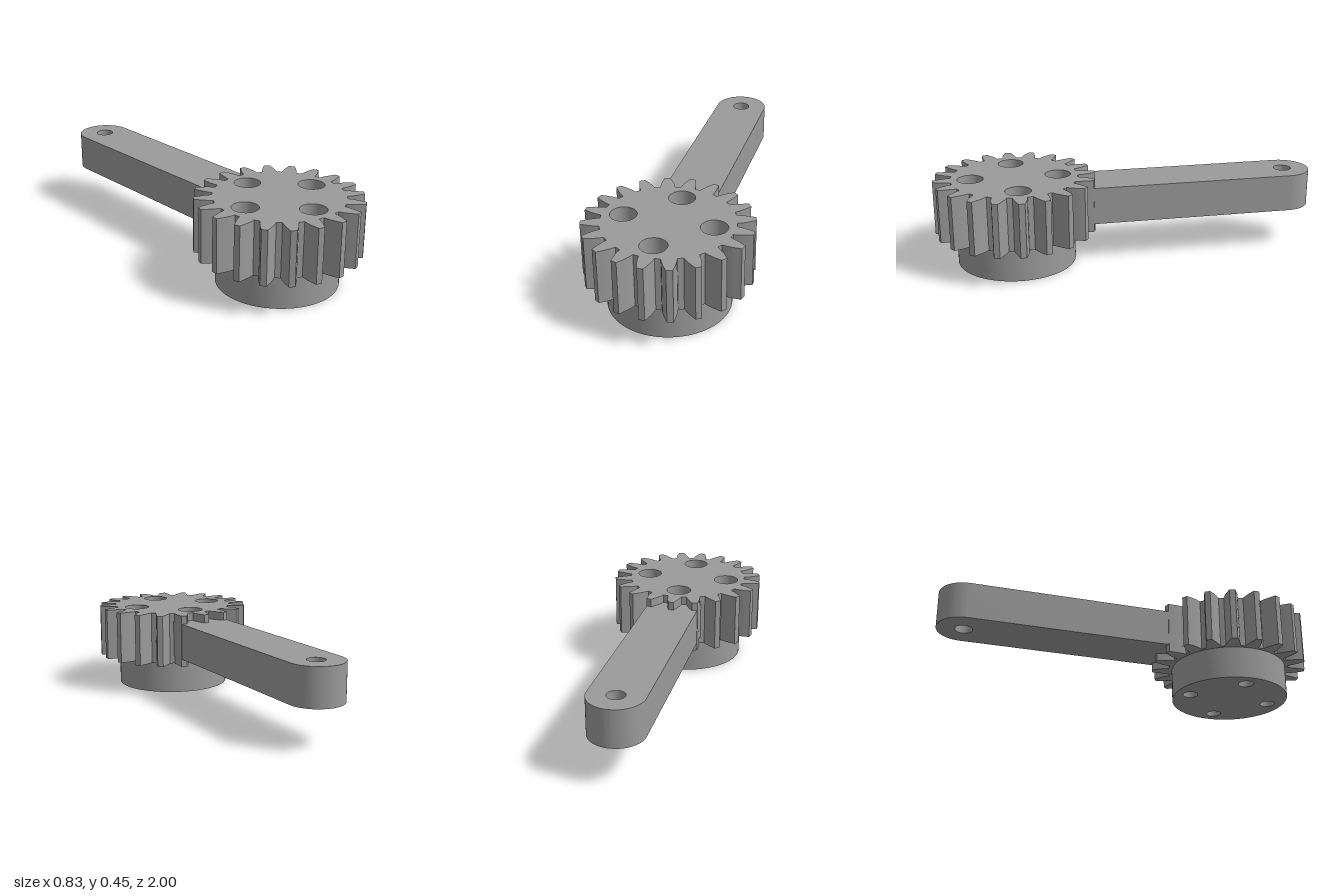
import * as THREE from 'three';
import { toCreasedNormals } from 'three/addons/utils/BufferGeometryUtils.js';

const GEAR_Z = 0.585;
const TEETH = 20;
const BOLT_CIRCLE = 0.224;
const material = new THREE.MeshStandardMaterial({ color: 0x9a9a9a });

function addHole(shape, x, y, r) {
  const hole = new THREE.Path();
  hole.absarc(x, y, r, 0, Math.PI * 2, true);
  shape.holes.push(hole);
}

function addBoltHoles(shape, r) {
  for (let i = 0; i < 4; i++) {
    const a = (i * Math.PI) / 2;
    addHole(shape, BOLT_CIRCLE * Math.cos(a), BOLT_CIRCLE * Math.sin(a), r);
  }
}

// Extrudes a plan outline upwards from y0 to y1 (outline y points to -z).
function plate(name, shape, y0, y1, z) {
  const geometry = new THREE.ExtrudeGeometry(shape, {
    depth: y1 - y0, bevelEnabled: false, curveSegments: 32,
  });
  geometry.rotateX(-Math.PI / 2);
  const mesh = new THREE.Mesh(toCreasedNormals(geometry, 0.12), material);
  mesh.name = name;
  mesh.position.set(0, y0, z);
  return mesh;
}

// Gear outline: each tooth is a mirrored flank of [radius, half width] points.
function gearShape() {
  const flank = [[0.325, 0.037], [0.35, 0.034], [0.375, 0.028], [0.397, 0.021], [0.415, 0.015]];
  const tooth = [
    ...flank.map(([r, w]) => [r, -w]),
    ...flank.slice().reverse(),
  ];
  const points = [];
  for (let i = 0; i < TEETH; i++) {
    for (const [r, w] of tooth) {
      const a = (i * 2 * Math.PI) / TEETH + Math.asin(w / r);
      points.push(new THREE.Vector2(r * Math.cos(a), r * Math.sin(a)));
    }
  }
  return new THREE.Shape(points);
}

export function createModel() {
  const model = new THREE.Group();
  model.name = 'gearWithLeverArm';

  // Toothed gear with wide counterbores
  const gear = gearShape();
  addBoltHoles(gear, 0.066);
  model.add(plate('gear', gear, 0.169, 0.448, GEAR_Z));

  // Round hub below, with the narrower bolt holes
  const hub = new THREE.Shape();
  hub.absarc(0, 0, 0.307, 0, Math.PI * 2, false);
  addBoltHoles(hub, 0.039);
  model.add(plate('hub', hub, 0, 0.169, GEAR_Z));

  // Lever arm: rounded far end with a pivot hole, near end hidden in the gear
  const w = 0.14, endY = 0.86, inner = 0.3;
  const a = Math.asin(w / inner);
  const arm = new THREE.Shape();
  arm.absarc(0, endY, w, 0, Math.PI, false);
  arm.absarc(0, -GEAR_Z, inner, Math.PI / 2 + a, Math.PI / 2 - a, true);
  arm.closePath();
  addHole(arm, 0, endY, 0.045);
  model.add(plate('leverArm', arm, 0.21, 0.404, 0));

  return model;
}
